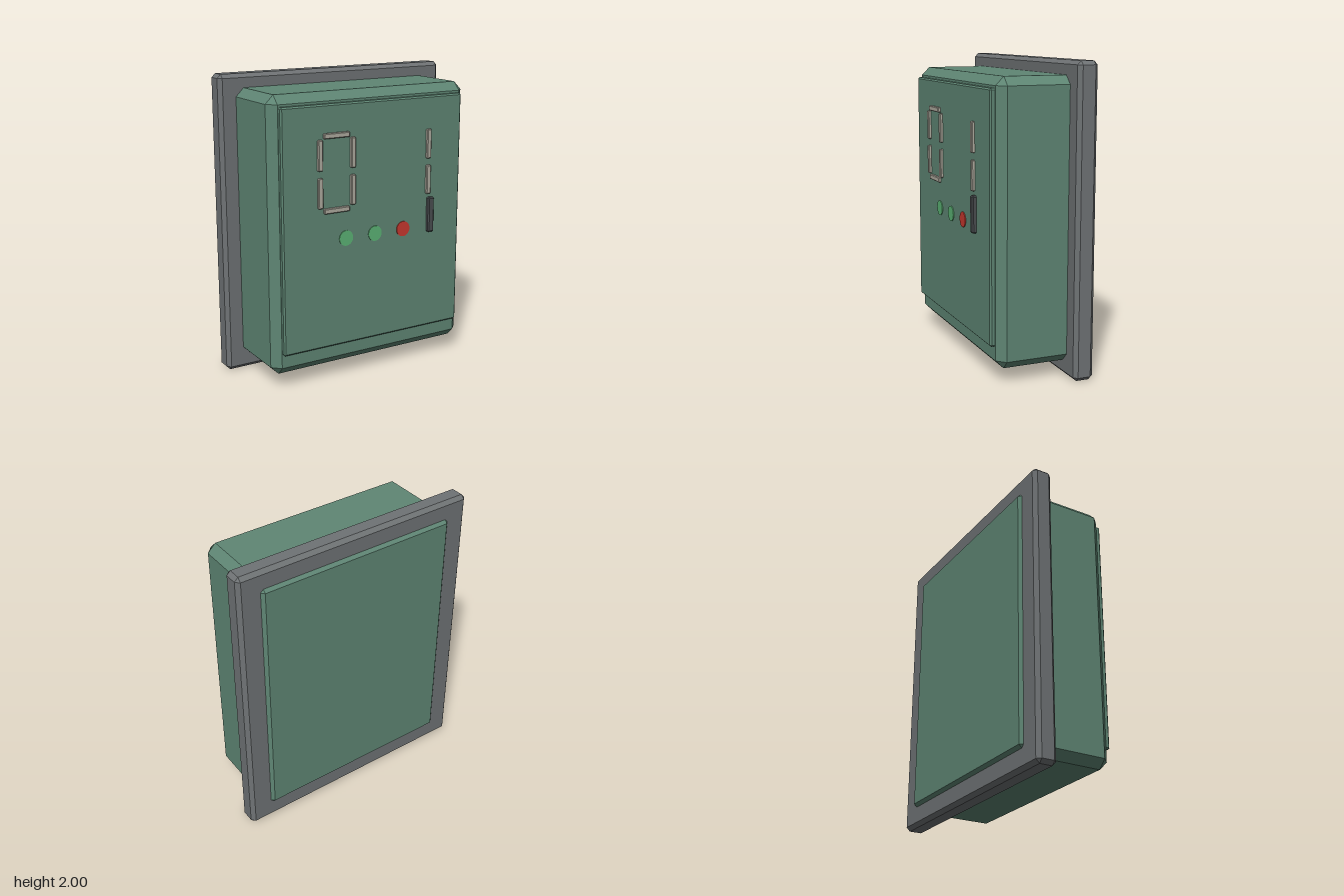
import * as THREE from 'three';
import { ConvexGeometry } from 'three/addons/geometries/ConvexGeometry.js';

const material = (color) => new THREE.MeshStandardMaterial({ color });
const green = material(0x5f8674);
const grey = material(0x6f7375);
const pale = material(0xb0aca0);
const dark = material(0x4a4d50);
const lampGreen = material(0x5cb475);
const lampRed = material(0xc8382e);

// Box given by its limits, with every edge chamfered by b
function chamferBox(name, [x0, x1], [y0, y1], [z0, z1], b, mat) {
  const half = [(x1 - x0) / 2, (y1 - y0) / 2, (z1 - z0) / 2];
  const points = [];
  for (const sx of [-1, 1]) for (const sy of [-1, 1]) for (const sz of [-1, 1]) {
    const s = [sx, sy, sz];
    for (let axis = 0; axis < 3; axis++) {
      points.push(new THREE.Vector3(...s.map((v, i) => v * (half[i] - (i === axis ? 0 : b)))));
    }
  }
  const mesh = new THREE.Mesh(new ConvexGeometry(points), mat);
  mesh.name = name;
  mesh.position.set((x0 + x1) / 2, (y0 + y1) / 2, (z0 + z1) / 2);
  return mesh;
}

export function createModel() {
  const model = new THREE.Group();
  model.name = 'wallUnit';

  // Housing
  model.add(chamferBox('backPlate', [-0.853, 0.853], [0, 2], [-0.322, -0.187], 0.025, grey));
  model.add(chamferBox('body', [-0.737, 0.737], [0.097, 1.91], [-0.342, 0.28], 0.055, green));
  model.add(chamferBox('frontPanel', [-0.68, 0.68], [0.243, 1.84], [0.22, 0.313], 0.01, green));

  // Display digits made of bars
  const display = new THREE.Group();
  display.name = 'display';
  const depth = [0.295, 0.332];
  const bar = (x, y) => display.add(chamferBox('displayBar', x, y, depth, 0.005, pale));
  for (const x of [-0.413, -0.174, 0.413]) {
    for (const y of [1.283, 1.524]) bar([x - 0.017, x + 0.017], [y - 0.098, y + 0.098]);
  }
  for (const y of [1.164, 1.643]) bar([-0.388, -0.201], [y - 0.017, y + 0.017]);
  model.add(display);

  // Handle
  model.add(chamferBox('handle', [0.409, 0.456], [0.92, 1.16], [0.295, 0.34], 0.008, dark));

  // Indicator lamps
  [[-0.222, lampGreen], [-0.002, lampGreen], [0.219, lampRed]].forEach(([x, mat]) => {
    const lamp = new THREE.Mesh(new THREE.CylinderGeometry(0.051, 0.051, 0.025, 32), mat);
    lamp.name = 'indicatorLamp';
    lamp.rotation.x = Math.PI / 2;
    lamp.position.set(x, 0.967, 0.306);
    model.add(lamp);
  });

  return model;
}
